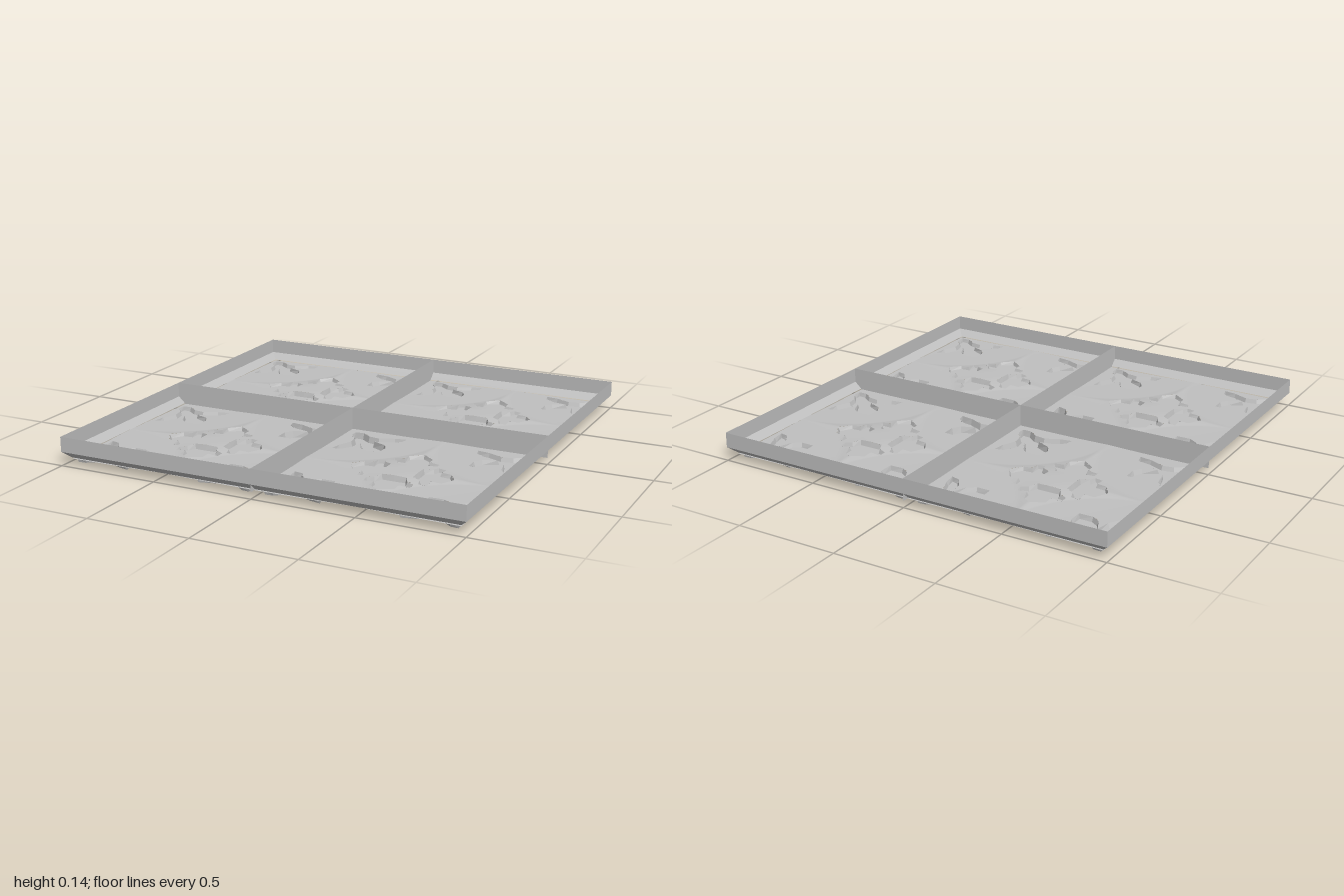
import * as THREE from 'three';
import { mergeGeometries } from 'three/addons/utils/BufferGeometryUtils.js';

const EDGE = 0.965, PITCH = EDGE, RADIUS = EDGE / 2, GRID = 200;
const CENTRES = [-PITCH, 0, PITCH];

// Half outlines: leaf is mirrored over its diagonal, trefoil over its axis
const LEAF = [[0.035, 0.035], [0.036, 0.08], [0.07, 0.125], [0.08, 0.18], [0.05, 0.25], [0.042, 0.31],
  [0.085, 0.3], [0.118, 0.25], [0.132, 0.18], [0.16, 0.245], [0.2, 0.27], [0.268, 0.268]];
const TREFOIL = [[0.08, 0], [0.08, 0.06], [0.12, 0.08], [0.13, 0.115], [0.168, 0.112], [0.168, 0.062],
  [0.215, 0.06], [0.255, 0]];

// Pressed relief: shallow dishes on a square pitch, raised four-pointed fields between them
function sheetHeight(x, z) {
  let r = Infinity;
  for (const cx of CENTRES) for (const cz of CENTRES) r = Math.min(r, Math.hypot(x - cx, z - cz));
  if (r < RADIUS) return 0.03 + 0.005 * (r / RADIUS) ** 2;
  const t = Math.min((r - RADIUS) / 0.17, 1);
  return 0.035 + 0.014 * (1 - (1 - t) ** 2);
}

function orient(points) {
  const v = points.map(([x, z]) => new THREE.Vector2(x, z));
  return THREE.ShapeUtils.isClockWise(v) ? v.reverse() : v;
}

// Outline moved inwards by d
function inset(pts, d) {
  return pts.map((p, i) => {
    const a = pts[(i + pts.length - 1) % pts.length], b = pts[(i + 1) % pts.length];
    const n1 = new THREE.Vector2(a.y - p.y, p.x - a.x).normalize();
    const n2 = new THREE.Vector2(p.y - b.y, b.x - p.x).normalize();
    const m = n1.add(n2).normalize();
    return p.clone().addScaledVector(m, d);
  });
}

function insidePolygon(x, z, pts) {
  let inside = false;
  for (let i = 0, j = pts.length - 1; i < pts.length; j = i++) {
    const a = pts[i], b = pts[j];
    if ((a.y > z) !== (b.y > z) && x < ((b.x - a.x) * (z - a.y)) / (b.y - a.y) + a.x) inside = !inside;
  }
  return inside;
}

function makeMotifs() {
  const motifs = [];
  const add = (name, floor, points) => {
    const pts = orient(points);
    motifs.push({ name, floor, pts, box: new THREE.Box2().setFromPoints(pts) });
  };
  // Leaves in every quadrant of every dish that lies on the tile
  const leaf = [...LEAF, ...LEAF.slice(1, -1).reverse().map(([u, v]) => [v, u])];
  for (const cx of CENTRES) for (const cz of CENTRES) for (const sx of [-1, 1]) for (const sz of [-1, 1]) {
    if (cx * sx > 0 || cz * sz > 0) continue;
    const dx = cx ? -0.02 : 0, dz = cz ? -0.02 : 0;
    add('leafMotif', cx || cz ? 0.01 : 0, leaf.map(([u, v]) => [cx + sx * (u + dx), cz + sz * (v + dz)]));
  }
  // Four trefoils round the middle of each raised field
  const trefoil = [...TREFOIL, ...TREFOIL.slice(1, -1).reverse().map(([u, v]) => [u, -v])];
  for (const cx of [-0.485, 0.485]) for (const cz of [-0.49, 0.49]) for (let k = 0; k < 4; k++) {
    const c = [1, 0, -1, 0][k], s = [0, 1, 0, -1][k];
    add('trefoilMotif', 0.022, trefoil.map(([u, v]) => [cx + u * c - v * s, cz + u * s + v * c]));
  }
  return motifs;
}

// Sheet grid, with vertices pulled on to motif outlines and openings left inside them
function makeSheet(motifs) {
  const cell = (2 * EDGE) / GRID, positions = [], index = [];
  const p = new THREE.Vector2(), q = new THREE.Vector2(), best = new THREE.Vector2();
  for (let j = 0; j <= GRID; j++) for (let i = 0; i <= GRID; i++) {
    p.set(-EDGE + i * cell, -EDGE + j * cell);
    let nearest = cell * 0.6;
    best.copy(p);
    if (i && j && i < GRID && j < GRID) for (const m of motifs) {
      if (m.box.distanceToPoint(p) > cell) continue;
      m.pts.forEach((a, k) => {
        const e = m.pts[(k + 1) % m.pts.length].clone().sub(a);
        const t = THREE.MathUtils.clamp(q.copy(p).sub(a).dot(e) / e.lengthSq(), 0, 1);
        q.copy(a).addScaledVector(e, t);
        if (q.distanceTo(p) < nearest) { nearest = q.distanceTo(p); best.copy(q); }
      });
    }
    positions.push(best.x, sheetHeight(best.x, best.y), best.y);
  }
  const addTriangle = (...t) => {
    const x = (positions[t[0] * 3] + positions[t[1] * 3] + positions[t[2] * 3]) / 3;
    const z = (positions[t[0] * 3 + 2] + positions[t[1] * 3 + 2] + positions[t[2] * 3 + 2]) / 3;
    p.set(x, z);
    if (!motifs.some(m => m.box.containsPoint(p) && insidePolygon(x, z, m.pts))) index.push(...t);
  };
  for (let j = 0; j < GRID; j++) for (let i = 0; i < GRID; i++) {
    const a = j * (GRID + 1) + i, b = a + 1, c = a + GRID + 1, d = c + 1;
    addTriangle(a, c, b);
    addTriangle(b, c, d);
  }
  const g = new THREE.BufferGeometry();
  g.setAttribute('position', new THREE.Float32BufferAttribute(positions, 3));
  g.setIndex(index);
  g.computeVertexNormals();
  return g;
}

// Pressed pocket: sloping sides from the sheet to a flat floor
function makePocket({ pts, floor }) {
  const low = inset(pts, 0.008), pos = [];
  const top = p => [p.x, sheetHeight(p.x, p.y), p.y], bottom = p => [p.x, floor, p.y];
  pts.forEach((a, i) => {
    const k = (i + 1) % pts.length;
    pos.push(...top(a), ...top(pts[k]), ...bottom(low[i]));
    pos.push(...top(pts[k]), ...bottom(low[k]), ...bottom(low[i]));
  });
  for (const [a, b, c] of THREE.ShapeUtils.triangulateShape(low, []))
    pos.push(...bottom(low[a]), ...bottom(low[c]), ...bottom(low[b]));
  const g = new THREE.BufferGeometry();
  g.setAttribute('position', new THREE.Float32BufferAttribute(pos, 3));
  g.computeVertexNormals();
  return g;
}

// Open square band between two heights
function squareBand(topHalf, bottomHalf, y0, y1) {
  const g = new THREE.CylinderGeometry(topHalf * Math.SQRT2, bottomHalf * Math.SQRT2, y1 - y0, 4, 1, true)
    .rotateY(Math.PI / 4).translate(0, (y0 + y1) / 2, 0).toNonIndexed();
  g.computeVertexNormals();
  return g;
}

export function createModel() {
  const group = new THREE.Group();
  const metal = new THREE.MeshStandardMaterial({ color: 0xc0c0c0, side: THREE.DoubleSide });
  metal.name = 'pressedMetalGrey';
  const add = (name, geometry) => {
    const mesh = new THREE.Mesh(geometry, metal);
    mesh.name = name;
    group.add(mesh);
  };

  const motifs = makeMotifs();
  add('pressedSheet', makeSheet(motifs));
  for (const name of ['leafMotif', 'trefoilMotif'])
    add(name + 's', mergeGeometries(motifs.filter(m => m.name === name).map(makePocket)));

  // Sloping border and upright rim
  add('bevelBorder', squareBand(1, EDGE, 0.035, 0.067));
  add('outerRim', squareBand(1, 1, 0.067, 0.14));

  // Upright ribs crossing at the middle
  const rib = () => new THREE.PlaneGeometry(2, 0.108).translate(0, 0.086, 0);
  add('ribAcross', rib());
  add('ribAlong', rib().rotateY(Math.PI / 2));
  return group;
}
